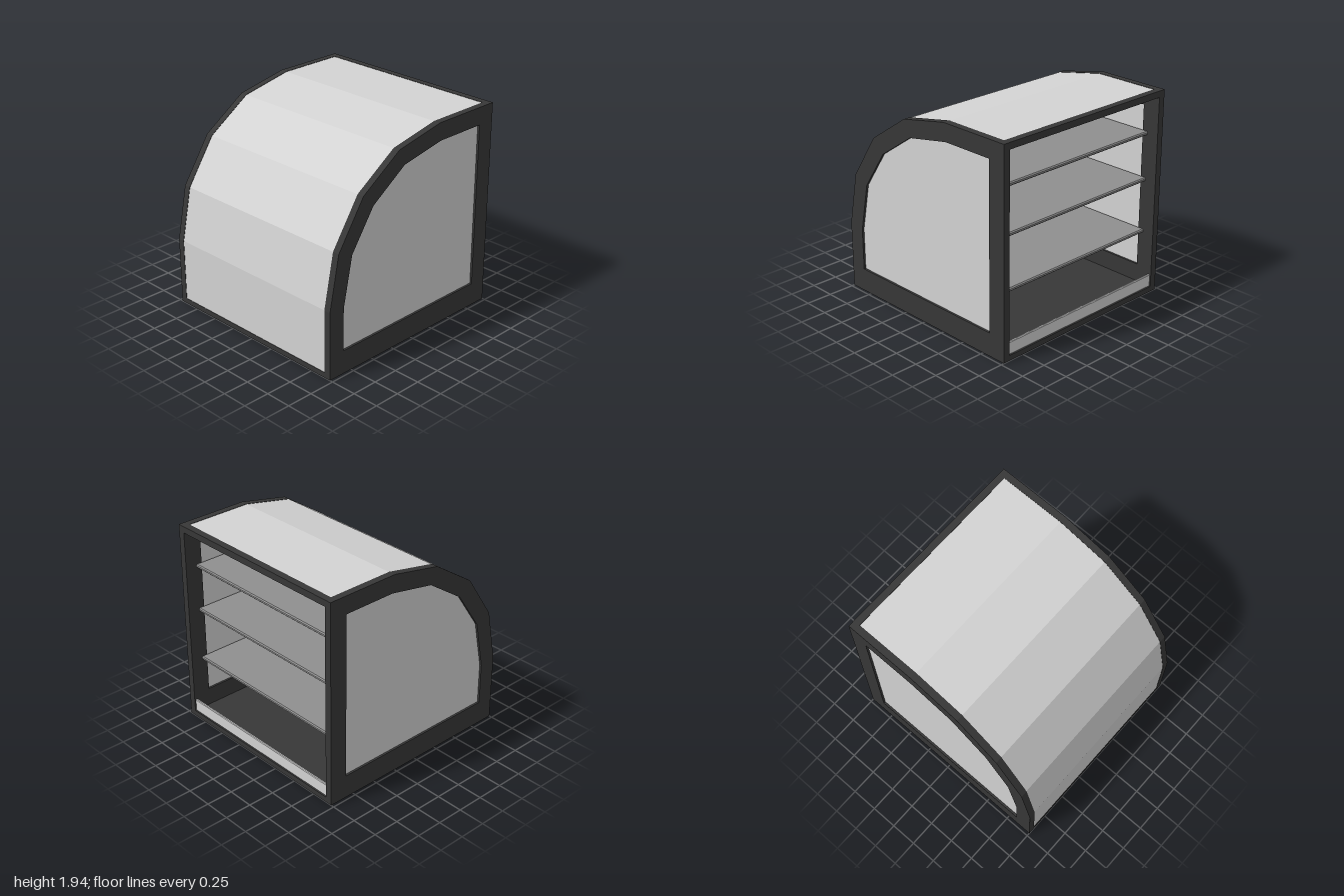
import * as THREE from 'three';

const mat = (name, color) => {
  const m = new THREE.MeshStandardMaterial({ color });
  m.name = name;
  return m;
};

// Side outline as [z, y], from the front foot over the curve to the back
const CURVE = [[1, 0.64], [0.9, 1.14], [0.62, 1.56], [0.2, 1.84], [-0.3, 1.94]];
const OUTER = [[1, 0], ...CURVE, [-1, 1.94], [-1, 0]];
const OPENING = [[0.84, 0.22], [0.84, 0.62], [0.745, 1.08], [0.5, 1.44],
  [0.13, 1.69], [-0.32, 1.775], [-0.83, 1.775], [-0.83, 0.22]];

const toVectors = (pts) => pts.map(([z, y]) => new THREE.Vector2(z, y));

// Extrude a [z, y] outline across x, centred on x = 0
function acrossX(pts, width, hole) {
  const shape = new THREE.Shape(toVectors(pts));
  if (hole) shape.holes.push(new THREE.Path(toVectors(hole)));
  const geo = new THREE.ExtrudeGeometry(shape, { depth: width, bevelEnabled: false });
  return geo.translate(0, 0, -width / 2).rotateY(-Math.PI / 2);
}

// Move an open polyline inwards (to the left of its direction) by d
function inset(pts, d) {
  const v = toVectors(pts);
  const normal = (a, b) => new THREE.Vector2(a.y - b.y, b.x - a.x).normalize();
  return v.map((p, i) => {
    const n1 = normal(v[Math.max(i - 1, 0)], v[Math.max(i, 1)]);
    const n2 = i < v.length - 1 ? normal(p, v[i + 1]) : n1;
    const mid = n1.clone().add(n2).normalize();
    const k = d / mid.dot(n1);
    return [p.x + mid.x * k, p.y + mid.y * k];
  });
}

export function createModel() {
  const group = new THREE.Group();
  const frame = mat('dark frame', 0x373737);
  const glass = mat('pale glass', 0xd3d3d3);
  const shelfGrey = mat('shelf grey', 0x8f8f8f);

  const add = (name, geo, material, x = 0, y = 0, z = 0) => {
    const mesh = new THREE.Mesh(geo, material);
    mesh.name = name;
    mesh.position.set(x, y, z);
    group.add(mesh);
  };

  // Side frames with recessed panes
  const sideGeo = acrossX(OUTER, 0.065, OPENING);
  const paneGeo = acrossX(OPENING, 0.025);
  for (const [side, s] of [['left', 1], ['right', -1]]) {
    add(side + 'SideFrame', sideGeo, frame, s * 0.9375);
    add(side + 'SidePane', paneGeo, glass, s * 0.9375);
  }

  // Base and the bar along the top of the open back
  add('base', new THREE.BoxGeometry(1.81, 0.05, 2), frame, 0, 0.025, 0);
  add('topBackBar', new THREE.BoxGeometry(1.81, 0.06, 0.065), frame, 0, 1.91, -0.9675);

  // Faceted curved pane from the front foot to the top back bar
  const path = [[1, 0.05], ...CURVE, [-0.935, 1.94]];
  const shell = [...inset(path, 0.003), ...inset(path, 0.03).reverse()];
  add('curvedFrontPane', acrossX(shell, 1.81), glass);

  // Chamfered slats: low lip at the back and three shelves fitted to the curve
  const chamfered = (z0, z1, y0, y1, c) => acrossX([
    [z1, y0 + c], [z1, y1 - c], [z1 - c, y1], [z0 + c, y1],
    [z0, y1 - c], [z0, y0 + c], [z0 + c, y0], [z1 - c, y0]], 1.8);
  add('backLip', chamfered(-0.99, -0.965, 0.05, 0.17, 0.006), glass);
  const shelves = [[0.56, 0.9], [1.065, 0.82], [1.505, 0.52]];
  shelves.forEach(([y, front], i) =>
    add('shelf' + (i + 1), chamfered(-0.89, front, y, y + 0.035, 0.01), shelfGrey));

  return group;
}
